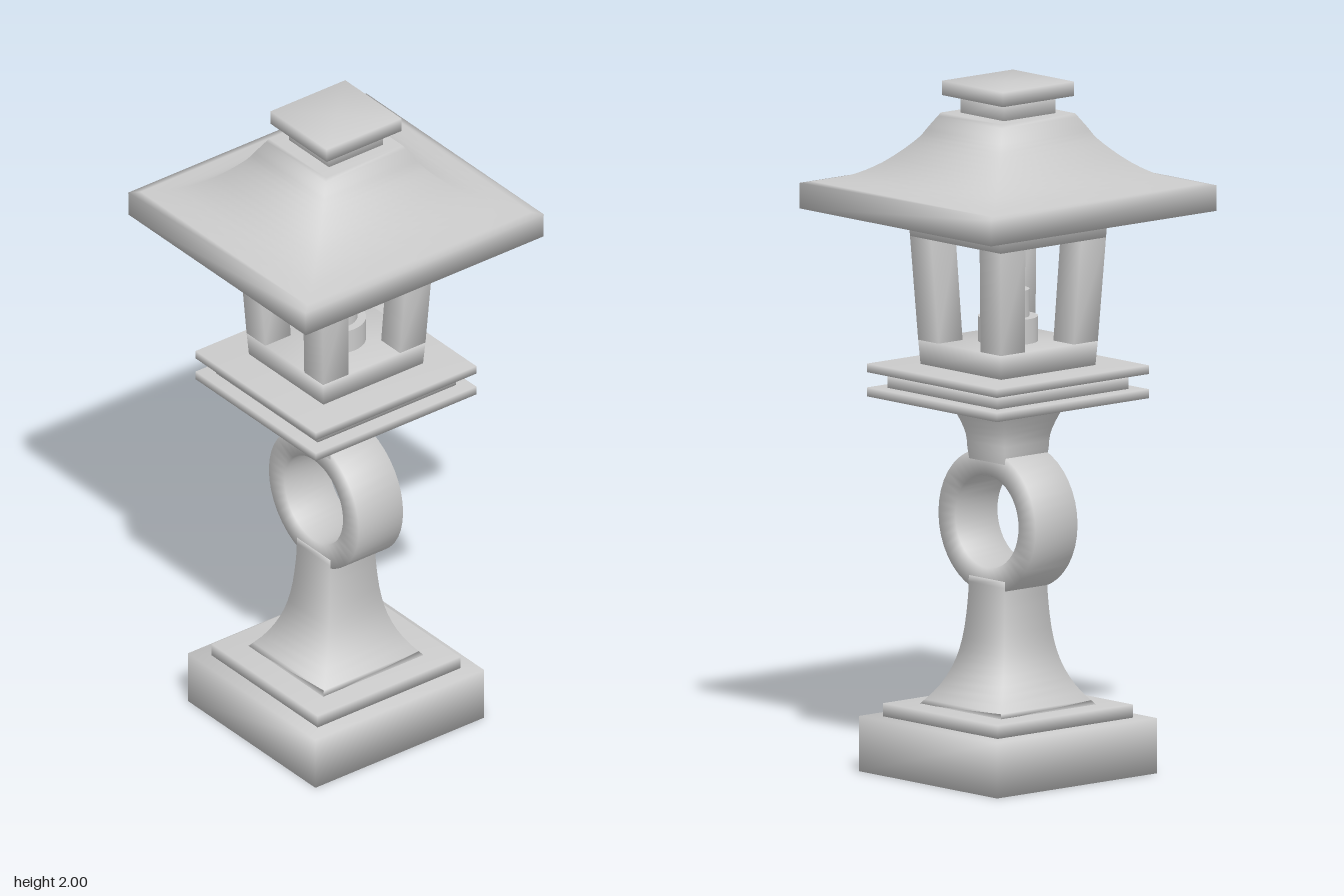
import * as THREE from 'three';
import { mergeVertices } from 'three/addons/utils/BufferGeometryUtils.js';

const material = new THREE.MeshStandardMaterial({ color: 0xcccccc });

// Closed loft through four-cornered sections: each is [x0, x1, z0, z1, y], bottom to top
function loft(sections) {
  const pos = [], idx = [];
  for (const [x0, x1, z0, z1, y] of sections) {
    pos.push(x0, y, z1, x1, y, z1, x1, y, z0, x0, y, z0);
  }
  const n = sections.length;
  for (let i = 0; i < n - 1; i++) {
    for (let k = 0; k < 4; k++) {
      const a = i * 4 + k, b = i * 4 + (k + 1) % 4;
      idx.push(a, b, b + 4, a, b + 4, a + 4);
    }
  }
  // End caps fan out from a centre point
  for (const [s, top] of [[0, false], [n - 1, true]]) {
    const [x0, x1, z0, z1, y] = sections[s];
    const c = pos.length / 3;
    pos.push((x0 + x1) / 2, y, (z0 + z1) / 2);
    for (let k = 0; k < 4; k++) {
      const a = s * 4 + k, b = s * 4 + (k + 1) % 4;
      if (top) idx.push(c, a, b);
      else idx.push(c, b, a);
    }
  }
  const g = new THREE.BufferGeometry();
  g.setAttribute('position', new THREE.Float32BufferAttribute(pos, 3));
  g.setIndex(idx);
  g.computeVertexNormals();
  return g;
}

// Centred loft from [halfX, halfZ, y] rows
const tiers = rows => loft(rows.map(([hx, hz, y]) => [-hx, hx, -hz, hz, y]));
const slab = (hx, hz, y0, y1) => tiers([[hx, hz, y0], [hx, hz, y1]]);

// Smooth curve through [halfX, y] points; depth is halfX times ratio
function curvedTiers(points, ratio, steps, rim = []) {
  const curve = new THREE.SplineCurve(points.map(p => new THREE.Vector2(...p)));
  const rows = curve.getPoints(steps).map(p => [p.x, p.x * ratio, p.y]);
  return tiers([...rim, ...rows]);
}

export function createModel() {
  const model = new THREE.Group();
  const add = (name, geometry, parent = model) => {
    const mesh = new THREE.Mesh(geometry, material);
    mesh.name = name;
    parent.add(mesh);
    return mesh;
  };

  // Foot and flared pedestal
  add('base', slab(0.295, 0.305, 0, 0.16));
  add('plinth', slab(0.245, 0.258, 0.16, 0.198));
  add('pedestal', curvedTiers([
    [0.175, 0.195], [0.135, 0.25], [0.105, 0.32], [0.088, 0.4], [0.079, 0.5], [0.077, 0.57],
  ], 1.05, 14));

  // Open ring, flat-sided section turned about z
  const section = [[0.135, -0.08], [0.208, -0.08], [0.208, 0.08], [0.135, 0.08], [0.135, -0.08]];
  let ringGeometry = new THREE.LatheGeometry(section.map(p => new THREE.Vector2(...p)), 40);
  ringGeometry.deleteAttribute('normal');
  ringGeometry.deleteAttribute('uv');
  ringGeometry = mergeVertices(ringGeometry, 1e-4);
  ringGeometry.computeVertexNormals();
  ringGeometry.rotateX(Math.PI / 2);
  add('ring', ringGeometry).position.y = 0.735;

  // Neck widening up to the platform
  add('neck', curvedTiers([
    [0.07, 0.865], [0.079, 0.93], [0.083, 0.98], [0.098, 1.03], [0.122, 1.088],
  ], 1.05, 10));

  // Double-edged platform
  add('platformBottom', slab(0.278, 0.29, 1.085, 1.111));
  add('platformCore', slab(0.235, 0.25, 1.11, 1.145));
  add('platformStep', slab(0.222, 0.235, 1.14, 1.157));
  add('platformTop', slab(0.278, 0.29, 1.155, 1.18));

  // Light chamber: sill, lintel and four tapering corner posts
  const chamber = new THREE.Group();
  chamber.name = 'lightChamber';
  model.add(chamber);
  add('sill', tiers([[0.172, 0.18, 1.178], [0.177, 0.185, 1.25]]), chamber);
  add('lintel', tiers([[0.194, 0.201, 1.55], [0.199, 0.206, 1.635]]), chamber);
  const span = (sign, inner, outer) => sign > 0 ? [inner, outer] : [-outer, -inner];
  for (const sx of [-1, 1]) {
    for (const sz of [-1, 1]) {
      add('cornerPost', loft([
        [...span(sx, 0.09, 0.177), ...span(sz, 0.093, 0.185), 1.25],
        [...span(sx, 0.104, 0.194), ...span(sz, 0.107, 0.201), 1.55],
      ]), chamber);
    }
  }

  // Candle on its holder
  const candle = new THREE.Group();
  candle.name = 'candle';
  model.add(candle);
  const cylinder = (name, r, y0, y1, sides) => {
    add(name, new THREE.CylinderGeometry(r, r, y1 - y0, sides), candle).position.y = (y0 + y1) / 2;
  };
  cylinder('candleHolder', 0.086, 1.248, 1.322, 32);
  cylinder('candleWax', 0.061, 1.32, 1.4, 32);
  cylinder('wick', 0.008, 1.398, 1.428, 10);

  // Sweeping roof with a thick rim
  add('roof', curvedTiers([
    [0.41, 1.702], [0.32, 1.722], [0.262, 1.752], [0.217, 1.79],
    [0.176, 1.835], [0.155, 1.87], [0.132, 1.908],
  ], 1.05, 18, [[0.41, 0.43, 1.628]]));

  // Finial
  add('finialNeck', slab(0.093, 0.098, 1.9, 1.962));
  add('finialCap', slab(0.13, 0.135, 1.958, 2));

  return model;
}
